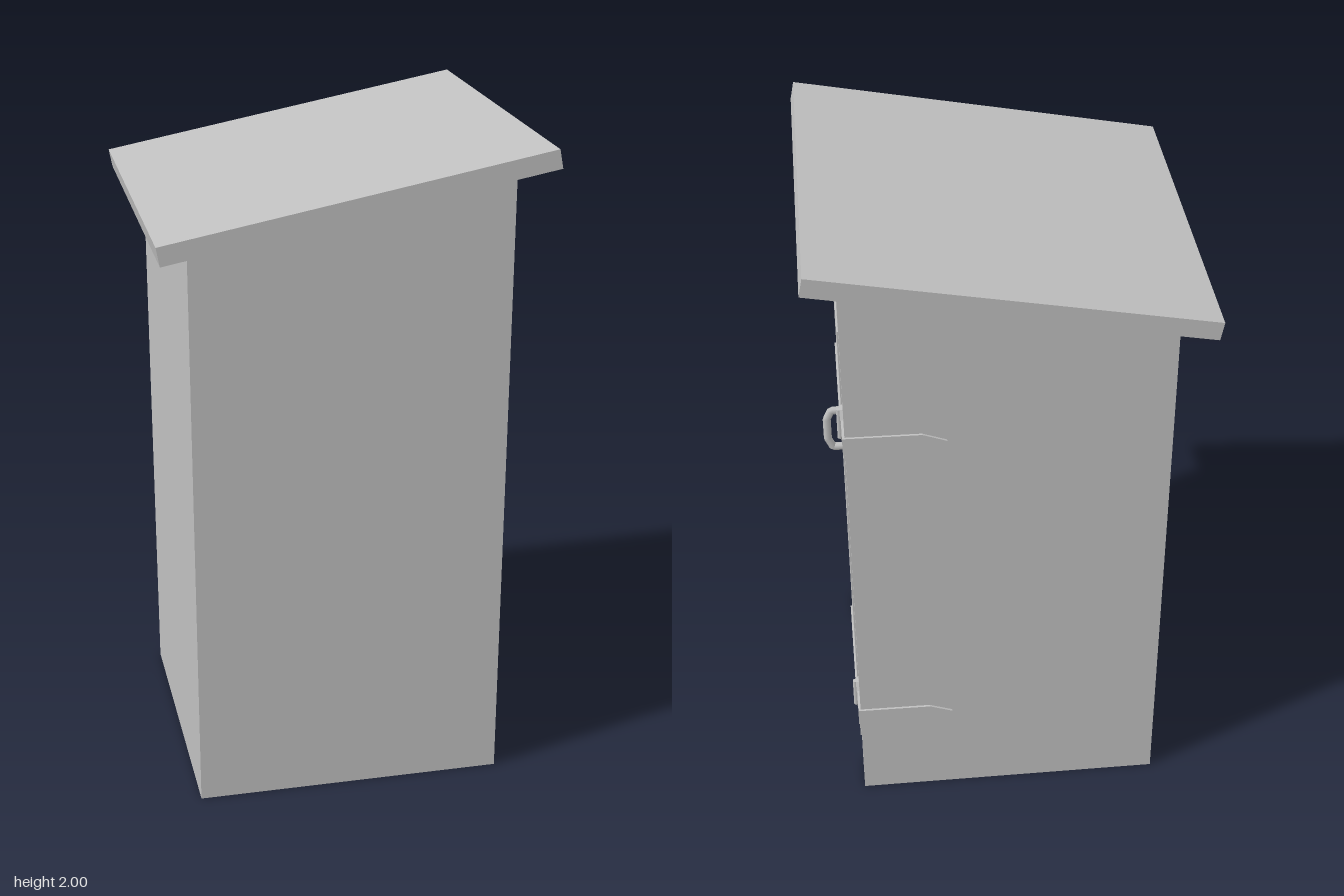
import * as THREE from 'three';

const grey = new THREE.MeshStandardMaterial({ color: 0xc0c0c0 });
grey.name = 'grey';

const W = 0.468;   // half width of the cabin
const T = 0.046;   // wall thickness
const roofY = (x) => 1.8395 + 0.188 * x; // underside of the roof

function add(parent, name, geometry) {
  const mesh = new THREE.Mesh(geometry, grey);
  mesh.name = name;
  parent.add(mesh);
  return mesh;
}

function plate(points, depth) {
  const shape = new THREE.Shape(points.map(([x, y]) => new THREE.Vector2(x, y)));
  return new THREE.ExtrudeGeometry(shape, { depth, bevelEnabled: false });
}

// Plates on the door side: drawn in (-z, y), growing toward +x
const doorSide = (points, depth, x) => plate(points, depth).rotateY(Math.PI / 2).translate(x, 0, 0);

function box(x0, x1, y0, y1, z0, z1) {
  return new THREE.BoxGeometry(x1 - x0, y1 - y0, z1 - z0)
    .translate((x0 + x1) / 2, (y0 + y1) / 2, (z0 + z1) / 2);
}

// Strap hinge: pointed leaf on the door, knuckle, and a leaf wrapping round the corner
function makeHinge(y) {
  const hinge = new THREE.Group();
  hinge.name = 'hinge';
  add(hinge, 'doorStrap', doorSide([
    [-0.055, 0], [0.015, -0.014], [0.1, -0.024], [0.345, -0.028],
    [0.345, 0.028], [0.22, 0.023], [0.1, 0.021], [0.015, 0.012],
  ], 0.007, 0.471));
  add(hinge, 'knuckleLeaf', doorSide([
    [0.345, -0.054], [0.37, -0.054], [0.386, -0.028],
    [0.386, 0.028], [0.37, 0.054], [0.345, 0.054],
  ], 0.009, W));
  add(hinge, 'hingePin', new THREE.CylinderGeometry(0.008, 0.008, 0.1, 10).translate(0.479, 0, -0.359));
  add(hinge, 'frameStrap', box(W, W + 0.007, -0.028, 0.028, -0.475, -0.38));
  add(hinge, 'wrapStrap', plate([
    [-W, -0.028], [-0.25, -0.026], [-0.18, 0], [-0.25, 0.026], [-W, 0.028],
  ], 0.007).rotateY(Math.PI).translate(0, 0, -W));
  hinge.position.y = y;
  return hinge;
}

export function createModel() {
  const model = new THREE.Group();
  model.name = 'shed';

  // Sloped-top walls on the front and back
  const inner = W - T;
  for (const [name, z] of [['frontWall', inner], ['backWall', -W]]) {
    add(model, name, plate([
      [-W, 0], [inner, 0], [inner, roofY(inner)], [-W, roofY(-W)],
    ], T).translate(0, 0, z));
  }

  // Plain low wall, and high wall with the doorway cut out
  add(model, 'lowWall', box(-W, -inner, 0, roofY(-W) + 0.006, -inner, inner));
  add(model, 'doorWall', doorSide([
    [-W, 0], [-0.346, 0], [-0.346, 1.692], [0.346, 1.692], [0.346, 0],
    [W, 0], [W, roofY(W)], [-W, roofY(W)],
  ], T, inner));

  // Slanted roof slab
  add(model, 'roof', plate([
    [-0.555, 1.735], [0.565, 1.945], [0.554, 2], [-0.565, 1.79],
  ], 1.136).translate(0, 0, -0.568));

  // Door with a narrow gap around it
  add(model, 'door', box(0.442, 0.472, 0.1, 1.678, -0.335, 0.335));
  for (const y of [1.384, 0.32]) model.add(makeHinge(y));

  // Bent bar handle
  const handlePath = new THREE.CurvePath();
  const bends = [
    [0.465, 1.002], [0.503, 1.002], [0.518, 0.97],
    [0.518, 0.892], [0.503, 0.858], [0.465, 0.858],
  ].map(([x, y]) => new THREE.Vector3(x, y, 0.235));
  for (let i = 1; i < bends.length; i++) handlePath.add(new THREE.LineCurve3(bends[i - 1], bends[i]));
  add(model, 'handle', new THREE.TubeGeometry(handlePath, 40, 0.013, 8));

  return model;
}
